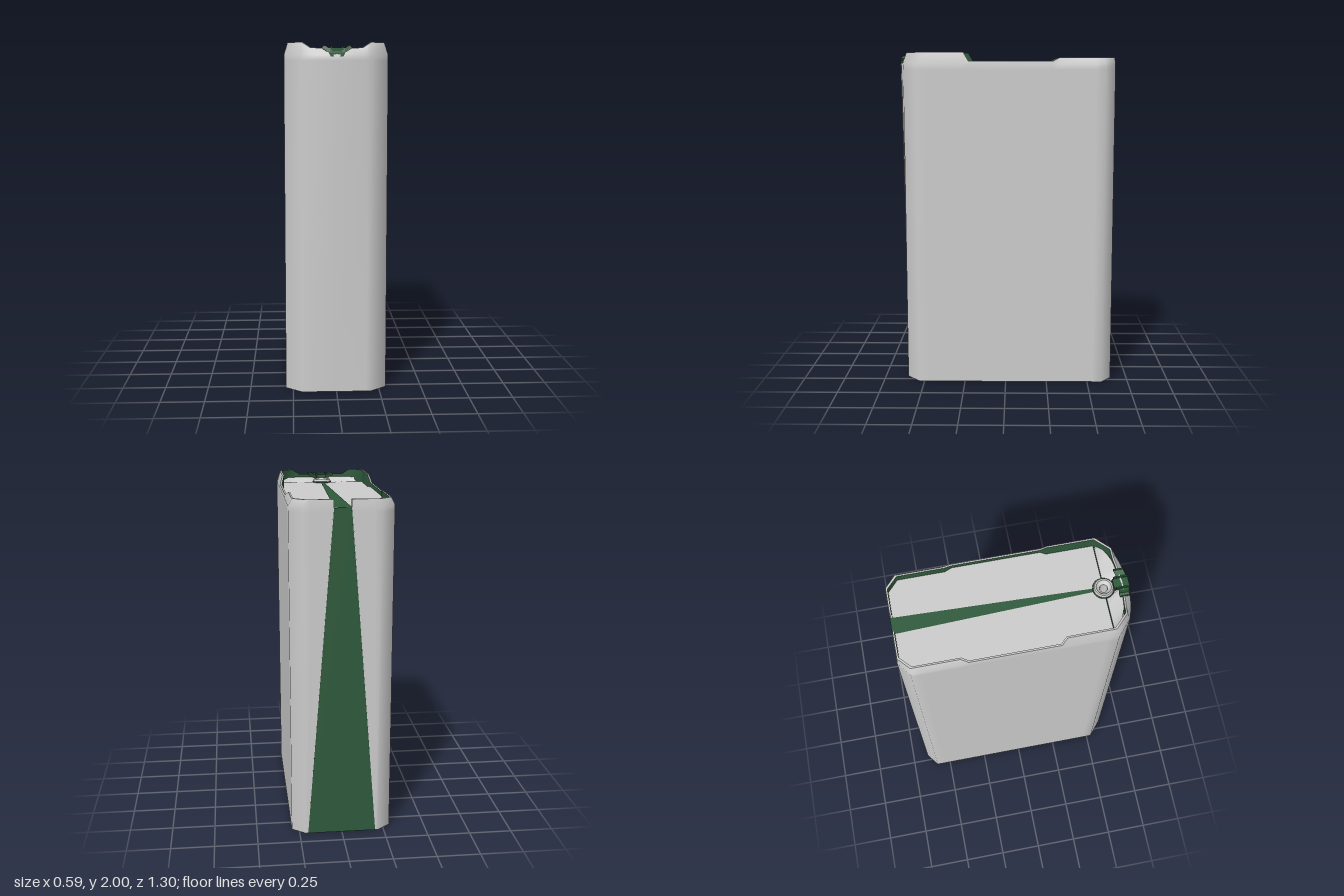
import * as THREE from 'three';
import { toCreasedNormals } from 'three/addons/utils/BufferGeometryUtils.js';

const grey = new THREE.MeshStandardMaterial({ color: 0xcccccc, side: THREE.DoubleSide });
const green = new THREE.MeshStandardMaterial({ color: 0x2f5a3c, side: THREE.DoubleSide });

const PLATE_Y = 1.925, HOLE_Z = 0.51, NOTCH = 0.045;

// Half outline from the back slot to the front centre:
// [bottom x, bottom z, shoulder x, shoulder z, rim x, rim z, rim y]
const side = (z, rx, ry, rz = z) => [0.293, z, 0.293, z, rx, rz, ry];
const HALF = [
  [0.2, -0.65, 0.048, -0.65, 0.048, -0.645, 1.97],
  [0.205, -0.65, 0.17, -0.65, 0.17, -0.645, 1.97],
  [0.215, -0.65, 0.215, -0.65, 0.205, -0.645, 1.97],
  side(-0.59, 0.272, 1.97, -0.585),
  side(-0.53, 0.272, 1.97),
  side(-0.32, 0.272, 1.97),
  side(-0.28, 0.289, 1.95),
  side(0.22, 0.289, 1.95),
  side(0.25, 0.272, 2),
  side(0.47, 0.272, 2),
  side(0.53, 0.272, 2, 0.515),
  [0.2, 0.61, 0.2, 0.61, 0.195, 0.59, 2],
  [0.17, 0.61, 0.17, 0.62, 0.168, 0.594, 1.983],
  [0.15, 0.61, 0.15, 0.626, 0.148, 0.597, 1.97],
  [0.1, 0.61, 0.1, 0.637, 0.1, 0.603, 1.968],
  [0, 0.61, 0, 0.65, 0, 0.61, 1.968],
];
const mirrorX = (p) => p.map((v, i) => (i === 0 || i === 2 || i === 4 ? -v : v));
const OUTLINE = [...HALF, ...HALF.slice(0, -1).reverse().map(mirrorX)];

// Surface through rows of points
function grid(rows, crease = 1.0) {
  const n = rows[0].length, index = [];
  for (let j = 0; j < rows.length - 1; j++) {
    for (let i = 0; i < n - 1; i++) {
      const a = j * n + i, b = a + n;
      index.push(a, b, a + 1, b, b + 1, a + 1);
    }
  }
  const g = new THREE.BufferGeometry();
  g.setAttribute('position', new THREE.Float32BufferAttribute(rows.flat(2), 3));
  g.setIndex(index);
  return toCreasedNormals(g, crease);
}

export function createModel() {
  const group = new THREE.Group();
  const add = (name, geometry, material = grey) => {
    const mesh = new THREE.Mesh(geometry, material);
    mesh.name = name;
    group.add(mesh);
    return mesh;
  };

  // Outer sleeve, open below, with a tapered upper rim
  const level = (y) => OUTLINE.map(([xb, zb, xt, zt]) => {
    const t = y / 1.93;
    return [xb + (xt - xb) * t, y, zb + (zt - zb) * t];
  });
  const rim = OUTLINE.map((p) => [p[4], p[6], p[5]]);
  const innerRim = rim.map(([x, y, z]) => [x * 0.965, y, z * 0.985]);
  const innerFoot = innerRim.map(([x, , z]) => [x, PLATE_Y - 0.01, z]);
  add('sleeve', grid([level(0), level(1.9), level(1.93), rim]));
  add('rimEdge', grid([rim, innerRim]));
  add('rimLining', grid([innerRim, innerFoot]), green);

  // Tapered panel on the back
  add('backPanel', grid([
    [[-0.2, 0, -0.65], [0.2, 0, -0.65]],
    [[-0.048, PLATE_Y, -0.65], [0.048, PLATE_Y, -0.65]],
  ]), green);

  // Recessed top plate, notched round the hole
  const plate = new THREE.Shape();
  const edge = HALF.slice(0, 11).map((p) => [p[4], Math.min(p[5], HOLE_Z)]);
  edge.forEach(([x, z], i) => (i ? plate.lineTo(x, -z) : plate.moveTo(x, -z)));
  plate.absarc(0, -HOLE_Z, NOTCH, 0, Math.PI, false);
  edge.reverse().forEach(([x, z]) => plate.lineTo(-x, -z));
  add('topPlate', new THREE.ShapeGeometry(plate, 16).rotateX(-Math.PI / 2)).position.y = PLATE_Y;

  // Tapered stripe along the plate
  add('topStripe', grid([
    [[-0.01, PLATE_Y + 0.002, 0.455], [0.01, PLATE_Y + 0.002, 0.455]],
    [[-0.048, PLATE_Y + 0.002, -0.65], [0.048, PLATE_Y + 0.002, -0.65]],
  ]), green);

  // Step and sloping shelf in front of the plate
  const xs = [-0.266, -0.19, -0.15, -0.1, -0.045, -0.03, 0, 0.03, 0.045, 0.1, 0.15, 0.19, 0.266];
  const arc = (x) => HOLE_Z + Math.sqrt(Math.max(0, NOTCH ** 2 - x * x));
  const frontZ = (x) => 0.6 - 0.085 * Math.pow(Math.abs(x) / 0.266, 3);
  const stepTop = xs.map((x) => [x, PLATE_Y, arc(x)]);
  const stepFoot = xs.map((x) => [x, PLATE_Y - 0.015, arc(x) + 0.007]);
  const shelfFront = xs.map((x) => [x, 1.95, Math.max(frontZ(x), arc(x) + 0.012)]);
  add('shelfStep', grid([stepFoot, stepTop]), green);
  add('frontShelf', grid([shelfFront, stepFoot]));

  // Collar with a long open tube hanging down inside
  const lathe = (pts) => toCreasedNormals(
    new THREE.LatheGeometry(pts.map(([r, y]) => new THREE.Vector2(r, y)), 32), 0.7);
  add('collar', lathe([
    [0.056, 1.905], [0.056, 1.937], [0.05, 1.946], [0.041, 1.946], [0.035, 1.936], [0.022, 1.928],
  ])).position.z = HOLE_Z;
  add('tube', lathe([[0.022, 0.005], [0.022, 1.928]])).position.z = HOLE_Z;
  const seal = add('collarSeal', new THREE.TorusGeometry(0.056, 0.005, 8, 32).rotateX(Math.PI / 2), green);
  seal.position.set(0, PLATE_Y + 0.003, HOLE_Z);

  // Winged latch on the front rim, swept back from the centre
  const wing = [[0.035, 1.92], [0.045, 1.942], [0.083, 1.965], [0.08, 1.975], [0.068, 1.982], [0.045, 1.968], [0.028, 1.968]];
  const latch = new THREE.Shape([...wing, ...wing.map(([x, y]) => [-x, y]).reverse()]
    .map(([x, y]) => new THREE.Vector2(x, y)));
  const latchGeo = new THREE.ExtrudeGeometry(latch, { depth: 0.055, bevelEnabled: false });
  const pos = latchGeo.attributes.position;
  for (let i = 0; i < pos.count; i++) {
    const bend = Math.abs(pos.getX(i)) * 0.12 + Math.max(0, pos.getY(i) - 1.95) * 0.5;
    pos.setZ(i, pos.getZ(i) + 0.597 - bend);
  }
  latchGeo.computeVertexNormals();
  add('latch', latchGeo, green);

  // Latch bridge and its two cheeks
  const bridge = add('latchBridge', new THREE.BoxGeometry(0.056, 0.03, 0.085), green);
  bridge.position.set(0, 1.953, 0.602);
  for (const s of [-1, 1]) {
    const cheek = add(s > 0 ? 'leftCheek' : 'rightCheek', new THREE.BoxGeometry(0.008, 0.022, 0.075), green);
    cheek.position.set(s * 0.031, 1.966, 0.605);
  }
  return group;
}
